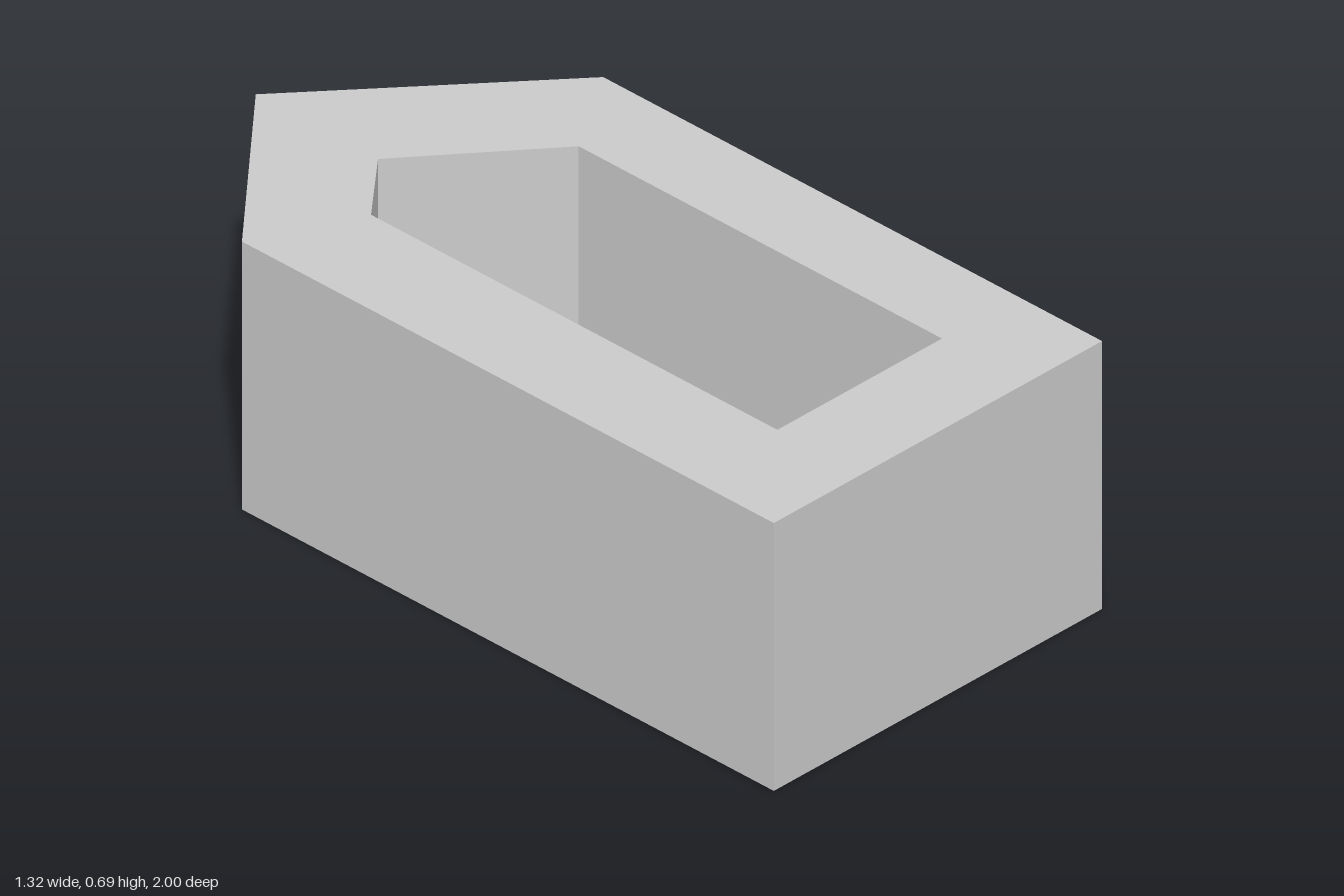
import * as THREE from 'three';

const grey = new THREE.MeshStandardMaterial({ color: 0xcccccc, flatShading: true });
const yellow = new THREE.MeshStandardMaterial({ color: 0xe6d800, flatShading: true });

function outline(points) {
  return points.map(([a, b]) => new THREE.Vector2(a, b));
}

function extrude(shape, depth) {
  return new THREE.ExtrudeGeometry(shape, { depth, bevelEnabled: false });
}

export function createModel() {
  const model = new THREE.Group();
  const add = (name, geometry, material = grey) => {
    const mesh = new THREE.Mesh(geometry, material);
    mesh.name = name;
    model.add(mesh);
    return mesh;
  };

  // Five-sided building around an open courtyard; plan drawn as (x, -z)
  const plan = new THREE.Shape(outline([
    [-0.662, -1], [0.355, -1], [0.355, 0.51], [-0.22, 1], [-0.662, 0.61]]));
  plan.holes.push(new THREE.Path(outline([
    [-0.39, -0.745], [-0.39, 0.485], [-0.22, 0.63], [0.12, 0.355], [0.12, -0.745]])));
  add('building', extrude(plan, 0.69).rotateX(-Math.PI / 2));

  // Entrance platform: a box whose top is drawn in on its three free sides
  const platform = new THREE.BoxGeometry(0.305, 0.112, 0.94).translate(0.5075, 0.056, 0.125);
  const p = platform.attributes.position;
  for (let i = 0; i < p.count; i++) {
    if (p.getY(i) < 0.1) continue;
    if (p.getX(i) > 0.5) p.setX(i, 0.545);
    p.setZ(i, p.getZ(i) > 0 ? 0.465 : -0.23);
  }
  platform.computeVertexNormals();
  add('entrancePlatform', platform);

  // Door surround: an arch-shaped frame drawn as (-z, y), extruded along +x
  const frame = new THREE.Shape(outline([
    [-0.28, 0.112], [-0.225, 0.112], [-0.225, 0.365], [0.14, 0.365],
    [0.14, 0.112], [0.205, 0.112], [0.205, 0.437], [-0.28, 0.437]]));
  add('doorSurround', extrude(frame, 0.125).rotateY(Math.PI / 2).translate(0.355, 0, 0));

  // Row of plain raised blocks above the door
  for (let i = 0; i < 7; i++) {
    add('signBlock', new THREE.BoxGeometry(0.007, 0.034, 0.022), yellow)
      .position.set(0.4825, 0.388, 0.163 - i * 0.037);
  }

  // Column of plain raised blocks near the wall's front corner
  for (let i = 0; i < 3; i++) {
    add('wallBlock', new THREE.BoxGeometry(0.006, 0.034, 0.035))
      .position.set(0.357, 0.637 - i * 0.047, 0.952);
  }

  return model;
}
